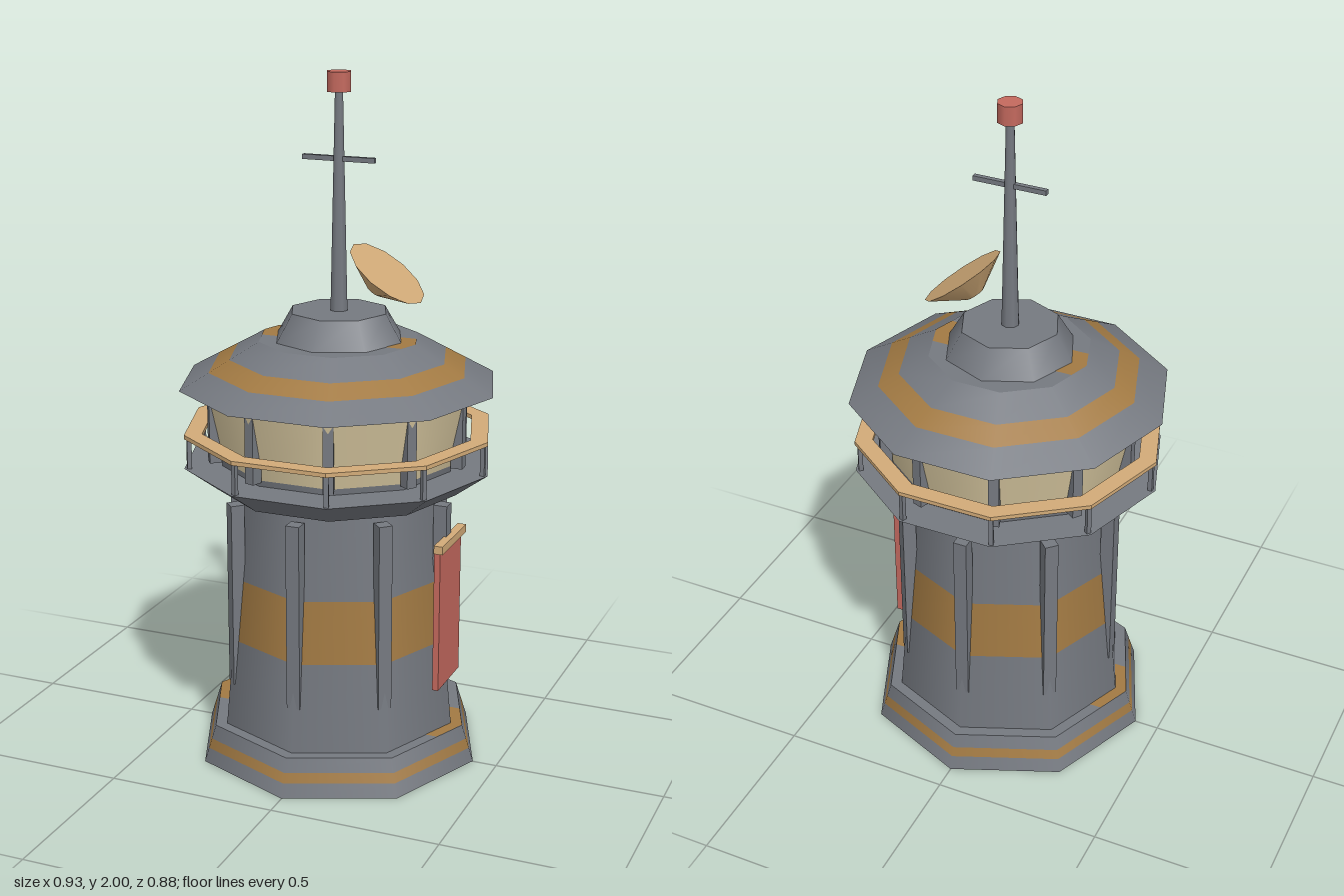
import * as THREE from 'three';

const paint = (name, color) => {
  const m = new THREE.MeshStandardMaterial({ color });
  m.name = name;
  return m;
};

export function createModel() {
  const model = new THREE.Group();
  model.name = 'watchtower';
  const grey = paint('slate grey', 0x757980);
  const brown = paint('ochre brown', 0xa27a43);
  const tan = paint('light tan', 0xd2ab78);
  const cream = paint('lit window cream', 0xd8c8a0);
  const red = paint('faded red', 0xc4695e);

  const add = (name, geometry, material, parent = model) => {
    const mesh = new THREE.Mesh(geometry, material);
    mesh.name = name;
    parent.add(mesh);
    return mesh;
  };

  // Polygonal frustum between two heights, with a corner on the x axis
  const frustum = (name, r0, r1, y0, y1, sides, material, open = false) => {
    const g = new THREE.CylinderGeometry(r1, r0, y1 - y0, sides, 1, open, Math.PI / 2);
    return add(name, g.translate(0, (y0 + y1) / 2, 0), material);
  };

  // Frustum with a painted band round the middle of its side
  const banded = (name, r0, r1, y0, y1, sides) => {
    const stops = [0, 0.37, 0.63, 1];
    const r = t => r0 + (r1 - r0) * t;
    const y = t => y0 + (y1 - y0) * t;
    for (let i = 0; i < 3; i++) {
      const a = stops[i], b = stops[i + 1];
      frustum(name + ['Lower', 'Band', 'Upper'][i], r(a), r(b), y(a), y(b), sides,
        i === 1 ? brown : grey, i === 1);
    }
  };

  // Flat stripe running along x across the end of a frustum
  const capStripe = (name, r, y, sides, up) => {
    const w = r * 0.26, e = r - w * Math.tan(Math.PI / sides);
    const shape = new THREE.Shape([[r, 0], [e, w], [-e, w], [-r, 0], [-e, -w], [e, -w]]
      .map(p => new THREE.Vector2(...p)));
    const g = new THREE.ShapeGeometry(shape).rotateX(up ? -Math.PI / 2 : Math.PI / 2);
    add(name, g.translate(0, y + (up ? 0.001 : -0.001), 0), brown);
  };

  // Boxes spaced evenly round the tower, starting on the x axis
  const around = (name, count, r, y, size, material) => {
    const group = new THREE.Group();
    group.name = name + 's';
    model.add(group);
    for (let i = 0; i < count; i++) {
      const a = (i / count) * Math.PI * 2;
      const mesh = add(name, new THREE.BoxGeometry(...size), material, group);
      mesh.position.set(Math.cos(a) * r, y, -Math.sin(a) * r);
      mesh.rotation.y = a;
    }
  };

  // Foot and tapering octagonal body
  banded('foot', 0.428, 0.392, 0, 0.11, 8);
  capStripe('footUndersideStripe', 0.428, 0, 8, false);
  capStripe('footTopStripe', 0.392, 0.11, 8, true);
  banded('body', 0.357, 0.29, 0.11, 0.82, 8);
  around('buttress', 8, 0.32, 0.515, [0.04, 0.55, 0.04], grey);

  // Gallery deck and lookout room
  frustum('deck', 0.357, 0.453, 0.82, 0.89, 10, grey);
  frustum('windowSill', 0.342, 0.345, 0.89, 0.908, 10, grey);
  frustum('windows', 0.345, 0.39, 0.908, 1.12, 10, cream);
  around('windowPost', 10, 0.364, 1.005, [0.034, 0.2, 0.03], grey);

  // Handrail: a flat ten-sided ring on thin posts
  const corners = r => Array.from({ length: 10 }, (_, i) =>
    new THREE.Vector2(r * Math.cos(i * Math.PI / 5), r * Math.sin(i * Math.PI / 5)));
  const ring = new THREE.Shape(corners(0.452));
  ring.holes.push(new THREE.Path(corners(0.4).reverse()));
  const rail = new THREE.ExtrudeGeometry(ring, { depth: 0.012, bevelEnabled: false });
  add('handrail', rail.rotateX(-Math.PI / 2).translate(0, 0.978, 0), tan);
  around('railPost', 10, 0.438, 0.934, [0.013, 0.09, 0.013], grey);

  // Roof and its raised cap
  banded('roof', 0.463, 0.233, 1.12, 1.25, 10);
  capStripe('roofUndersideStripe', 0.463, 1.12, 10, false);
  capStripe('roofTopStripe', 0.233, 1.25, 10, true);
  frustum('roofCap', 0.19, 0.143, 1.25, 1.33, 8, grey);

  // Mast, crossbar and beacon
  frustum('mast', 0.026, 0.012, 1.33, 1.95, 8, grey);
  add('crossbar', new THREE.BoxGeometry(0.216, 0.014, 0.014), grey).position.set(0, 1.76, 0);
  frustum('beacon', 0.036, 0.036, 1.945, 2, 8, red);

  // Dish tilted up towards the left
  const dish = add('dish', new THREE.CylinderGeometry(0.126, 0.028, 0.063, 12), tan);
  dish.position.set(0.127, 1.422, 0);
  dish.rotation.z = -0.6435;

  // Hanging banner on the left side
  add('banner', new THREE.BoxGeometry(0.018, 0.43, 0.18), red).position.set(0.338, 0.465, 0);
  add('bannerRod', new THREE.BoxGeometry(0.026, 0.024, 0.206), tan).position.set(0.345, 0.687, 0);

  return model;
}
